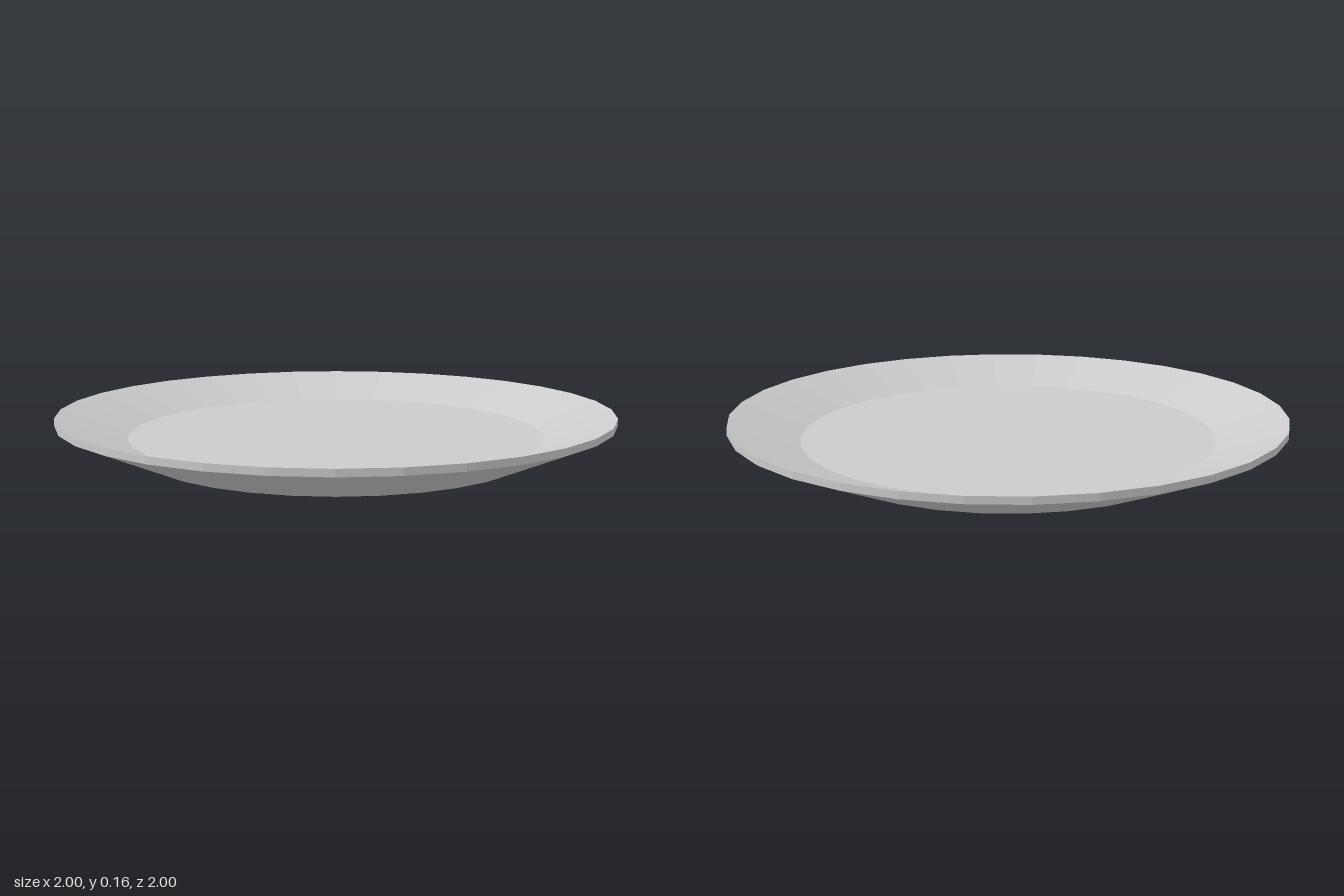
import * as THREE from 'three';

const SIDES = 32;
const STEP = (Math.PI * 2) / SIDES;

// Cross-section of the plate, from underside centre round the rim to the floor centre
const FLOOR = 0.07, RECESS = 0.03, LIP = 0.155, LIP_BASE = 0.13;
const PROFILE = [[0, RECESS], [0.65, RECESS], [0.65, 0], [0.7, 0],
  [1, LIP_BASE], [1, LIP], [0.75, FLOOR], [0, FLOOR]].map(([r, y]) => new THREE.Vector2(r, y));

// Distance from the axis measured on the many-sided outline (1 at the rim)
function ringRadius(x, z) {
  const a = Math.atan2(x, z);
  const d = ((a % STEP) + STEP) % STEP - STEP / 2;
  return Math.hypot(x, z) * Math.cos(d) / Math.cos(STEP / 2);
}
const topHeight = r => FLOOR + Math.max(0, (r - 0.75) / 0.25) * (LIP - FLOOR);
const bottomHeight = r => r > 0.7 ? (r - 0.7) / 0.3 * LIP_BASE
  : RECESS * THREE.MathUtils.clamp((0.66 - r) / 0.01, 0, 1);

// Crack junctions and rim ends, in plan (x, z)
const onRim = (x, z) => { const r = ringRadius(x, z); return [x / r, z / r]; };
const C = [0, 0], B = [0, -0.25], K = [0.03, -0.27], D = [-0.43, 0.53], E = [-0.66, 0.54];
const rBack = onRim(0.1, -0.99), rRight = onRim(0.95, -0.3), rFront = onRim(0.47, 0.87);
const rFrontLeft = onRim(-0.2, 0.975), rCorner = onRim(-0.77, 0.63);
const rLeft = onRim(-0.97, -0.23), rBackLeft = onRim(-0.91, -0.41);

// Each shard: its broken edge, from one rim end to the other
const SHARDS = {
  backCornerShard: [rRight, K, rBack],
  sideShard: [rFront, C, B, K, rRight],
  frontShard: [rFrontLeft, D, C, rFront],
  smallRimShard: [rCorner, E, D, rFrontLeft],
  rimSliver: [rLeft, E, rCorner],
  middleShard: [rBackLeft, B, C, D, E, rLeft],
  backShard: [rBack, K, B, rBackLeft],
};

// Plan outline of a shard: the broken edge closed by an arc beyond the rim
function outline(edge) {
  const angle = p => Math.atan2(p[1], p[0]);
  const from = angle(edge[edge.length - 1]);
  let to = angle(edge[0]);
  if (to < from) to += Math.PI * 2;
  const pts = edge.map(p => new THREE.Vector2(...p));
  const n = Math.max(2, Math.ceil((to - from) / 0.2));
  for (let i = 0; i <= n; i++) {
    const a = from + (to - from) * i / n;
    pts.push(new THREE.Vector2(Math.cos(a) * 1.3, Math.sin(a) * 1.3));
  }
  return pts;
}

// Keep the part of a 3D polygon on the inner side of plan line a-b
function clip(poly, a, b) {
  const side = p => (b.x - a.x) * (p.z - a.y) - (b.y - a.y) * (p.x - a.x);
  const out = [];
  poly.forEach((p, i) => {
    const q = poly[(i + 1) % poly.length];
    const sp = side(p), sq = side(q);
    if (sp >= 0) out.push(p);
    if ((sp > 0 && sq < 0) || (sp < 0 && sq > 0)) out.push(p.clone().lerp(q, sp / (sp - sq)));
  });
  return out;
}

function shardGeometry(edge, plateTriangles) {
  const pos = [];
  const addTriangle = (a, b, c) => {
    const area = b.clone().sub(a).cross(c.clone().sub(a)).length();
    if (area > 1e-8) pos.push(...a.toArray(), ...b.toArray(), ...c.toArray());
  };

  // Outer surfaces, cut from the whole plate
  const pts = outline(edge);
  for (const ids of THREE.ShapeUtils.triangulateShape(pts, [])) {
    const cutter = ids.map(i => pts[i]);
    if (THREE.ShapeUtils.area(cutter) < 0) cutter.reverse();
    for (const tri of plateTriangles) {
      let poly = tri;
      for (let k = 0; k < 3 && poly.length; k++) poly = clip(poly, cutter[k], cutter[(k + 1) % 3]);
      for (let k = 1; k + 1 < poly.length; k++) addTriangle(poly[0], poly[k], poly[k + 1]);
    }
  }

  // Upright fracture faces along the broken edge
  const column = (p, q, t) => {
    const x = p[0] + (q[0] - p[0]) * t, z = p[1] + (q[1] - p[1]) * t;
    const r = ringRadius(x, z);
    return [new THREE.Vector3(x, bottomHeight(r), z), new THREE.Vector3(x, topHeight(r), z)];
  };
  for (let i = 0; i + 1 < edge.length; i++) {
    const n = 60;
    for (let k = 0; k < n; k++) {
      const [pb, pt] = column(edge[i], edge[i + 1], k / n);
      const [qb, qt] = column(edge[i], edge[i + 1], (k + 1) / n);
      addTriangle(pb, pt, qt);
      addTriangle(pb, qt, qb);
    }
  }

  const geometry = new THREE.BufferGeometry();
  geometry.setAttribute('position', new THREE.Float32BufferAttribute(pos, 3));
  geometry.computeVertexNormals();
  return geometry;
}

export function createModel() {
  const group = new THREE.Group();
  group.name = 'brokenPlate';
  const material = new THREE.MeshStandardMaterial({ color: 0xcccccc, flatShading: true });

  // Whole plate as loose triangles
  const whole = new THREE.LatheGeometry(PROFILE, SIDES).toNonIndexed().getAttribute('position');
  const triangles = [];
  for (let i = 0; i < whole.count; i += 3) {
    triangles.push([0, 1, 2].map(k => new THREE.Vector3().fromBufferAttribute(whole, i + k)));
  }

  for (const [name, edge] of Object.entries(SHARDS)) {
    const mesh = new THREE.Mesh(shardGeometry(edge, triangles), material);
    mesh.name = name;
    group.add(mesh);
  }
  return group;
}
